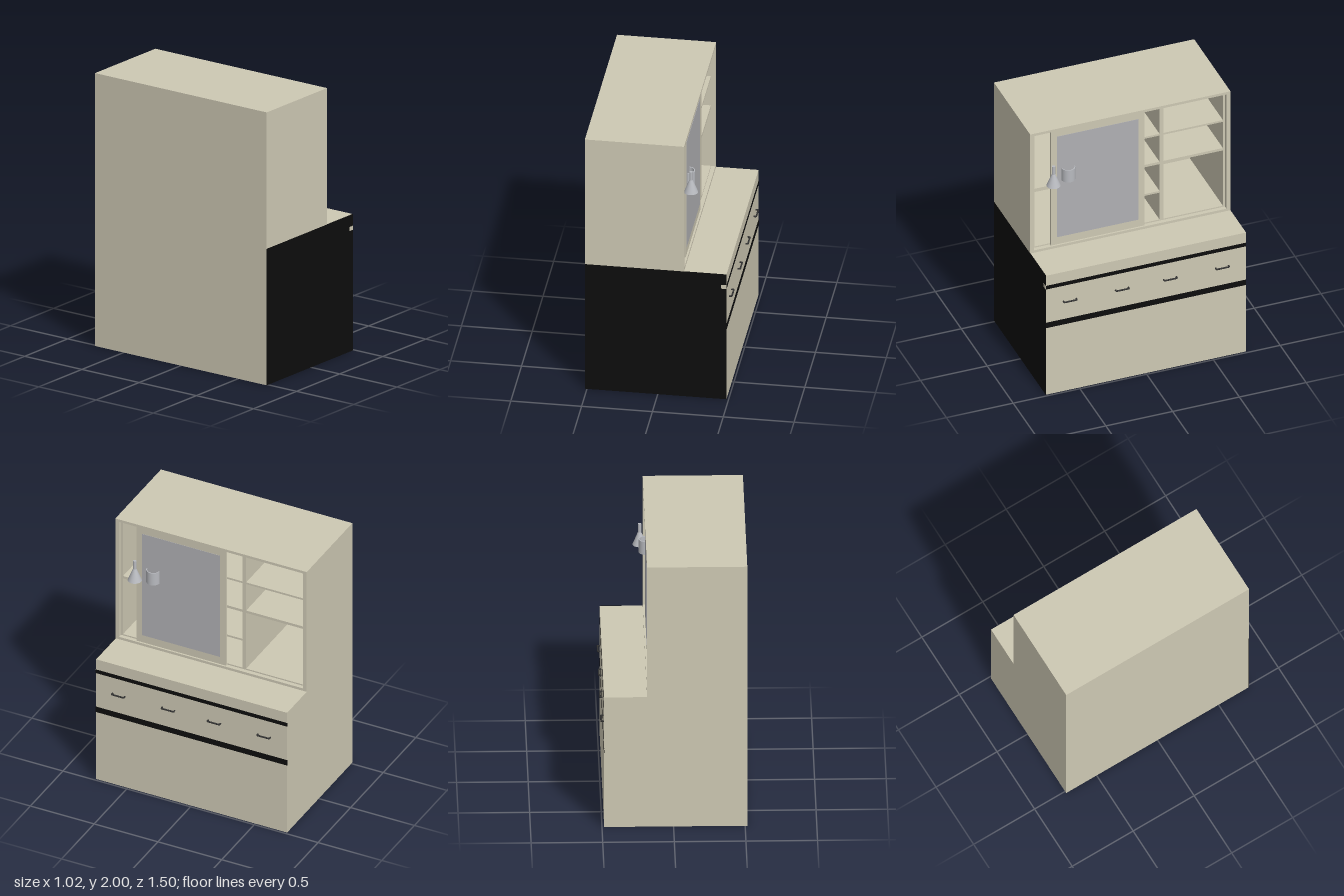
import * as THREE from 'three';

const material = (color) => new THREE.MeshStandardMaterial({ color });
const cream = material(0xcdc8b3);
const black = material(0x0d0d0d);
const dark = material(0x333333);
const glass = material(0xb0b0b3);
const metal = material(0xb8babf);
metal.side = THREE.DoubleSide;

export function createModel() {
  const root = new THREE.Group();
  root.name = 'dresser';

  const add = (name, geometry, mat) => {
    const mesh = new THREE.Mesh(geometry, mat);
    mesh.name = name;
    root.add(mesh);
    return mesh;
  };

  // Box given by its limits on each axis
  const box = (name, mat, x0, x1, y0, y1, z0, z1) =>
    add(name, new THREE.BoxGeometry(x1 - x0, y1 - y0, z1 - z0), mat)
      .position.set((x0 + x1) / 2, (y0 + y1) / 2, (z0 + z1) / 2);

  // Panel in the z-y plane with rectangular holes, extruded along x
  const rect = (target, [z0, z1, y0, y1]) => {
    target.moveTo(-z1, y0).lineTo(-z0, y0).lineTo(-z0, y1).lineTo(-z1, y1).closePath();
    return target;
  };
  const pierced = (name, x0, x1, outer, holes) => {
    const shape = rect(new THREE.Shape(), outer);
    holes.forEach((h) => shape.holes.push(rect(new THREE.Path(), h)));
    const geometry = new THREE.ExtrudeGeometry(shape, { depth: x1 - x0, bevelEnabled: false });
    geometry.rotateY(Math.PI / 2).translate(x0, 0, 0);
    add(name, geometry, cream);
  };

  // Base cabinet with one black end panel
  box('baseCabinet', cream, -0.515, 0.485, 0, 1, -0.75, 0.747);
  box('endPanel', black, -0.515, 0.485, 0, 1, 0.747, 0.75);

  // Dark reveal strips above and below the drawers
  box('upperStrip', black, 0.48, 0.486, 0.885, 0.915, -0.75, 0.75);
  box('lowerStrip', black, 0.48, 0.486, 0.56, 0.605, -0.75, 0.75);
  box('upperStripEnd', cream, 0.445, 0.485, 0.885, 0.915, 0.74, 0.751);

  // Drawer handles
  for (const z of [-0.57, -0.18, 0.18, 0.57]) {
    const points = [[0.48, -0.048], [0.503, -0.048], [0.503, 0.048], [0.48, 0.048]]
      .map(([x, dz]) => new THREE.Vector3(x, 0.755, z + dz));
    const path = new THREE.CurvePath();
    for (let i = 0; i < 3; i++) path.add(new THREE.LineCurve3(points[i], points[i + 1]));
    add('drawerHandle', new THREE.TubeGeometry(path, 36, 0.006, 8), dark);
  }

  // Upper cabinet: outer case, back and a set-back shelf unit
  pierced('upperCase', -0.515, 0.185, [-0.75, 0.75, 1, 2], [[-0.72, 0.72, 1.02, 1.98]]);
  box('upperBack', cream, -0.515, -0.48, 1.01, 1.99, -0.73, 0.73);
  const columns = [
    [0.26, 0.705, [[1.03, 1.495], [1.515, 1.975]]],
    [-0.23, 0.23, [[1.03, 1.255], [1.27, 1.495], [1.515, 1.735], [1.75, 1.975]]],
    [-0.705, -0.26, [[1.03, 1.495], [1.515, 1.735], [1.75, 1.975]]],
  ];
  const openings = columns.flatMap(([z0, z1, rows]) => rows.map(([y0, y1]) => [z0, z1, y0, y1]));
  pierced('shelfUnit', -0.48, 0.155, [-0.72, 0.72, 1.02, 1.98], openings);

  // Sliding door with mirror
  box('mirrorDoor', cream, 0.155, 0.172, 1.02, 1.98, -0.11, 0.59);
  box('mirror', glass, 0.165, 0.174, 1.08, 1.925, -0.065, 0.545);

  // Lamp with conical shade and narrow neck
  const lathe = (name, profile, x, y, z) => {
    const group = new THREE.Group();
    group.name = name;
    group.position.set(x, y, z);
    // Each straight run is its own surface so the rims stay crisp
    for (let i = 0; i < profile.length - 1; i++) {
      const run = [profile[i], profile[i + 1]].map(([r, h]) => new THREE.Vector2(r, h));
      group.add(new THREE.Mesh(new THREE.LatheGeometry(run, 32), metal));
      group.children[i].name = name + 'Surface';
    }
    root.add(group);
  };
  lathe('coneLamp', [[0, 0], [0.05, 0], [0.012, 0.095], [0.012, 0.16], [0, 0.16]], 0.21, 1.55, 0.585);

  // Round cup beside the lamp
  lathe('cup', [[0, 0], [0.05, 0], [0.05, 0.1], [0.043, 0.1], [0.043, 0.01], [0, 0.01]], 0.17, 1.55, 0.46);

  return root;
}
